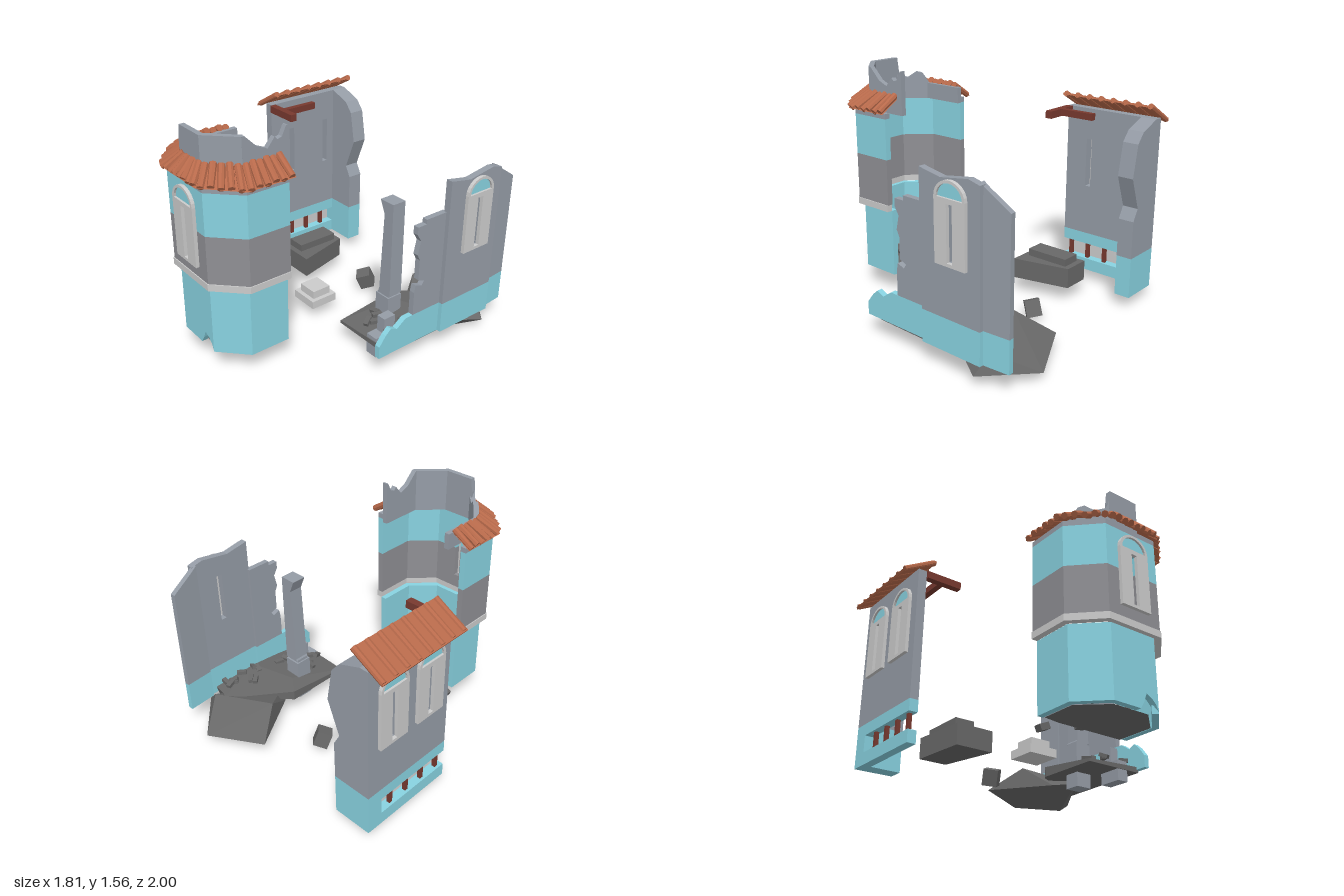
import * as THREE from 'three';
import { ConvexGeometry } from 'three/addons/geometries/ConvexGeometry.js';

const mat = (color) => new THREE.MeshStandardMaterial({ color, flatShading: true, side: THREE.DoubleSide });
const STONE = mat(0x959ca6), BAND = mat(0x8f8f94), TRIM = mat(0xcccccc), TEAL = mat(0x88d2e0);
const RUBBLE = mat(0x686868), TILE = mat(0xb86a4b), WOOD = mat(0x78392f);
const V = (x, y, z) => new THREE.Vector3(x, y, z);

let seed = 7;
const rnd = () => (seed = (seed * 16807) % 2147483647) / 2147483647;

function add(parent, name, geo, material, x = 0, y = 0, z = 0) {
  const m = new THREE.Mesh(geo, material);
  m.name = name;
  m.position.set(x, y, z);
  parent.add(m);
  return m;
}
// box given by its min and max corners
function block(parent, name, material, x0, x1, y0, y1, z0, z1) {
  return add(parent, name, new THREE.BoxGeometry(x1 - x0, y1 - y0, z1 - z0), material,
    (x0 + x1) / 2, (y0 + y1) / 2, (z0 + z1) / 2);
}
const hull = (parent, name, material, pts) =>
  add(parent, name, new ConvexGeometry(pts.map((p) => V(...p))), material);

// upright wall plane from plan point p to q: local x runs along it, local z points outward
function face(parent, name, p, q) {
  const g = new THREE.Group();
  g.name = name;
  g.position.set(p[0], 0, p[1]);
  g.rotation.y = Math.atan2(-(q[1] - p[1]), q[0] - p[0]);
  g.userData.length = Math.hypot(q[0] - p[0], q[1] - p[1]);
  parent.add(g);
  return g;
}
const shapeOf = (pts) => new THREE.Shape(pts.map((p) => new THREE.Vector2(...p)));
const rect = (a, b, c, d) => [[a, c], [b, c], [b, d], [a, d]];
// slab of wall whose outer side lies at local z = front
function slab(g, name, material, pts, depth, front = 0, holes = []) {
  const s = shapeOf(pts);
  s.holes = holes.map(shapeOf);
  const geo = new THREE.ExtrudeGeometry(s, { depth, bevelEnabled: false });
  return add(g, name, geo, material, 0, 0, front - depth);
}
const slit = (s, y) => rect(s - 0.021, s + 0.021, y + 0.02, y + 0.36);
// arched window surround with a narrow slit
function arrowWindow(g, s, y) {
  const r = 0.112, top = y + 0.39;
  slab(g, 'windowSurround', TRIM, rect(s - r, s + r, y, top), 0.025, 0.023, [slit(s, y)]);
  const arc = (rad) => Array.from({ length: 13 }, (_, i) =>
    [s + rad * Math.cos(i * Math.PI / 12), top + rad * 0.92 * Math.sin(i * Math.PI / 12)]);
  slab(g, 'windowArch', TRIM, [...arc(r), ...arc(r - 0.018).reverse()], 0.025, 0.023);
  slab(g, 'archPanel', TEAL, arc(r - 0.018), 0.012, 0.009);
}
// round roof tile between two points
function tileRoll(parent, a, b, r = 0.02) {
  const m = add(parent, 'roofTile', new THREE.CylinderGeometry(r, r * 1.1, a.distanceTo(b), 8), TILE);
  m.position.copy(a).add(b).multiplyScalar(0.5);
  m.quaternion.setFromUnitVectors(V(0, 1, 0), b.clone().sub(a).normalize());
}
function quad(parent, name, material, a, b, c, d) {
  const geo = new THREE.BufferGeometry().setFromPoints([a, b, c, a, c, d]);
  geo.computeVertexNormals();
  add(parent, name, geo, material);
}
function bricks(parent, n, x0, x1, z0, z1, y) {
  for (let i = 0; i < n; i++) {
    const m = add(parent, 'looseBrick', new THREE.BoxGeometry(0.065, 0.025, 0.032), RUBBLE,
      x0 + rnd() * (x1 - x0), y, z0 + rnd() * (z1 - z0));
    m.rotation.set(rnd() * 0.5 - 0.25, rnd() * 3.1, rnd() * 0.5 - 0.25);
  }
}
// half-octagon plan, from the left end round the front to the right end
const plan = (side, corner, half, front, end = 0.47) => [[-side, end], [-side, corner],
  [-half, front], [half, front], [side, corner], [side, end]];

function buildTower(root) {
  const t = new THREE.Group();
  t.name = 'tower';
  root.add(t);
  const ring = (name, material, pl, y0, y1, frontPts) => {
    for (let i = 0; i < 5; i++) {
      const g = face(t, name, pl[i], pl[i + 1]), L = g.userData.length;
      slab(g, name + 'Panel', material, i === 2 && frontPts ? frontPts : rect(0, L, y0, y1), 0.04);
      if (i === 2 && name === 'upperBand') arrowWindow(g, L / 2, 0.74);
    }
  };
  const body = plan(0.38, 0.76, 0.2, 0.94);
  ring('lowerWall', TEAL, plan(0.345, 0.745, 0.17, 0.915), 0.15, 0.62,
    [[0, 0.15], [0.2, 0.15], [0.23, 0.2], [0.25, 0.25], [0.29, 0.23], [0.32, 0.2], [0.34, 0.16], [0.34, 0.62], [0, 0.62]]);
  ring('ledge', TRIM, plan(0.386, 0.763, 0.203, 0.946), 0.62, 0.665);
  ring('greyBand', BAND, body, 0.665, 0.98, [[0, 0.665], [0.4, 0.665], [0.4, 0.98],
    [0.221, 0.98], [0.221, 0.76], [0.179, 0.76], [0.179, 0.98], [0, 0.98]]);
  ring('upperBand', TEAL, body, 0.98, 1.255, [[0, 0.98], [0.179, 0.98], [0.179, 1.1],
    [0.221, 1.1], [0.221, 0.98], [0.4, 0.98], [0.4, 1.255], [0, 1.255]]);
  ring('cornice', STONE, body, 1.255, 1.29);

  // broken drum above the eaves
  const drum = plan(0.285, 0.72, 0.115, 0.89, 0.41), tops = [
    [[0.3, 1.38], [0, 1.38]],
    [[0.24, 1.48], [0.22, 1.43], [0.15, 1.42], [0.09, 1.46], [0.05, 1.45], [0, 1.38]],
    [[0.23, 1.56], [0.012, 1.56], [0, 1.47]],
    [[0.24, 1.56], [0, 1.56]],
    [[0.32, 1.56], [0.3, 1.56], [0.27, 1.5], [0.24, 1.49], [0.22, 1.51], [0.17, 1.45], [0.1, 1.48], [0.02, 1.56], [0, 1.56]]];
  tops.forEach((top, i) => {
    const g = face(t, 'drum', drum[i], drum[i + 1]), L = g.userData.length;
    slab(g, 'drumPanel', STONE, [[0, 1.27], [L, 1.27], ...top.map(([s, y]) => [Math.min(s, L), y])], 0.035);
  });

  // tiled eaves
  const outer = plan(0.42, 0.78, 0.2, 0.98, 0.45), inner = plan(0.28, 0.72, 0.115, 0.885, 0.45);
  const at = (pl, i, f, y) => V(THREE.MathUtils.lerp(pl[i][0], pl[i + 1][0], f), y,
    THREE.MathUtils.lerp(pl[i][1], pl[i + 1][1], f));
  [6, 5, 8, 5, 6].forEach((n, i) => {
    quad(t, 'eavesDeck', TILE, at(outer, i, 0, 1.295), at(outer, i, 1, 1.295), at(inner, i, 1, 1.38), at(inner, i, 0, 1.38));
    for (let k = 0; k < n; k++) {
      const f = (k + 0.5) / n, lift = (k % 2) * 0.008;
      tileRoll(t, at(inner, i, f, 1.39 + lift), at(outer, i, f, 1.3 + lift), 0.021);
    }
  });

  // rubble floor
  hull(t, 'towerFloor', RUBBLE, [[-0.3, 0.15, 0.48], [-0.3, 0.15, 0.72], [-0.13, 0.15, 0.87], [0.13, 0.15, 0.87],
    [0.3, 0.15, 0.72], [0.3, 0.15, 0.46], [0.15, 0.17, 0.42], [-0.15, 0.17, 0.42], [0.05, 0.2, 0.6], [-0.1, 0.09, 0.6], [0.15, 0.1, 0.65]]);
  bricks(t, 14, -0.18, 0.2, 0.45, 0.78, 0.2);
  bricks(t, 4, -0.03, 0.08, 0.41, 0.48, 0.18);
  block(t, 'fallenBrick', RUBBLE, -0.33, -0.26, 0.08, 0.12, 0.43, 0.48).rotation.z = 0.4;
}

function buildLeftRuin(root) {
  const r = new THREE.Group();
  r.name = 'leftRuin';
  root.add(r);
  const side = face(r, 'leftWall', [-0.8, -0.87], [-0.8, -0.19]);
  slab(side, 'leftWallBase', TEAL, [[0, 0.08], [0.68, 0.08], [0.68, 0.165], [0.1, 0.165], [0.1, 0.28], [0.68, 0.28], [0.68, 0.36], [0, 0.36]], 0.06);
  slab(side, 'leftWallUpper', STONE, rect(0, 0.68, 0.36, 1.265), 0.06, 0, [slit(0.19, 0.69), slit(0.5, 0.69)]);
  [0.19, 0.5].forEach((s) => arrowWindow(side, s, 0.69));
  for (let i = 0; i < 4; i++) slab(side, 'baluster', WOOD, rect(0.2 + i * 0.14, 0.225 + i * 0.14, 0.16, 0.285), 0.025, -0.018);

  const back = face(r, 'backWall', [-0.53, -0.87], [-0.8, -0.87]);
  slab(back, 'backWallBase', TEAL, rect(0, 0.27, 0.08, 0.36), 0.11);
  slab(back, 'backWallUpper', STONE, [[0, 0.36], [0.27, 0.36], [0.27, 1.265], [0.21, 1.265], [0.06, 1.21],
    [0, 1.14], [-0.04, 0.92], [0.045, 0.7], [0, 0.62]], 0.11);

  block(r, 'crossBeam', WOOD, -0.735, -0.485, 1.215, 1.265, -0.225, -0.178);
  block(r, 'longBeam', WOOD, -0.635, -0.595, 1.22, 1.265, -0.475, -0.2);

  // sloping tiled roof
  const deck = add(r, 'roofDeck', new THREE.BoxGeometry(0.255, 0.014, 0.69), TILE, -0.79, 1.292, -0.525);
  deck.rotation.z = Math.atan2(0.125, 0.22);
  for (let i = 0; i < 8; i++) {
    const z = -0.855 + i * 0.093;
    tileRoll(r, V(-0.682, 1.357, z), V(-0.895, 1.236, z), 0.019);
  }
}

function buildRightRuin(root) {
  const r = new THREE.Group();
  r.name = 'rightRuin';
  root.add(r);
  // stepped wall, broken toward the front
  const front = face(r, 'rightWallFront', [0.852, 0.16], [0.852, -0.35]);
  slab(front, 'frontBase', TEAL, [[0, 0.15], [0.51, 0.15], [0.51, 0.36], [0.21, 0.36], [0.14, 0.31], [0.09, 0.335], [0.05, 0.3], [0, 0.235]], 0.037);
  slab(front, 'frontUpper', STONE, [[0.27, 0.36], [0.51, 0.36], [0.51, 1.0], [0.34, 1.0], [0.34, 0.97], [0.27, 0.97], [0.27, 0.92],
    [0.3, 0.87], [0.28, 0.78], [0.3, 0.74], [0.3, 0.6], [0.35, 0.58], [0.33, 0.55], [0.28, 0.57], [0.27, 0.52]], 0.037);
  const mid = face(r, 'rightWallMiddle', [0.88, -0.34], [0.88, -0.78]);
  slab(mid, 'middleBase', TEAL, rect(0, 0.44, 0.15, 0.36), 0.045);
  slab(mid, 'middleUpper', STONE, [[0, 0.36], [0.44, 0.36], [0.44, 1.19], [0.36, 1.21], [0.16, 1.18], [0, 1.21]], 0.045, 0, [slit(0.243, 0.69)]);
  arrowWindow(mid, 0.243, 0.69);
  const rear = face(r, 'rightWallRear', [0.855, -0.76], [0.84, -0.955]);
  slab(rear, 'rearBase', TEAL, rect(0, 0.195, 0.15, 0.36), 0.035);
  slab(rear, 'rearUpper', STONE, [[0, 0.36], [0.195, 0.36], [0.195, 1.07], [0.04, 1.17], [0, 1.2]], 0.035);

  // floor mound and the tilted slab below it
  hull(r, 'rightFloor', RUBBLE, [[0.39, 0.15, 0.08], [0.83, 0.17, 0.08], [0.83, 0.13, 0.08], [0.39, 0.13, 0.08], [0.39, 0.2, -0.38],
    [0.39, 0.13, -0.38], [0.62, 0.2, -0.68], [0.7, 0.2, -0.74], [0.83, 0.2, -0.72], [0.83, 0.12, -0.7], [0.8, 0.24, -0.4], [0.5, 0.22, -0.3]]);
  hull(r, 'tiltedSlab', RUBBLE, [[0.21, 0.1, -0.81], [0.59, 0.07, -1], [0.78, 0.19, -0.77], [0.36, 0.24, -0.6],
    [0.47, 0.09, -0.4], [0.74, 0, -0.65], [0.89, 0.08, -0.74], [0.6, 0.1, -0.3]]);
  bricks(r, 9, 0.66, 0.8, -0.7, -0.38, 0.235);
  bricks(r, 7, 0.48, 0.8, -0.36, 0.02, 0.22);

  // tall column: block base, tapering shaft, broken capital
  block(r, 'columnBase', STONE, 0.477, 0.595, 0.03, 0.33, -0.258, -0.145);
  const col = face(r, 'column', [0, -0.155], [1, -0.155]);
  slab(col, 'columnShaft', STONE, [[0.487, 0.33], [0.487, 0.345], [0.595, 0.345], [0.59, 0.98], [0.59, 1], [0.475, 1], [0.515, 0.91], [0.495, 0.36]].slice(1), 0.1);
  slab(col, 'columnNeck', STONE, rect(0.487, 0.585, 0.32, 0.35), 0.09);
  // short column stump
  block(r, 'stumpBase', STONE, 0.645, 0.73, 0.05, 0.19, -0.09, 0.075);
  block(r, 'stumpShaft', STONE, 0.655, 0.72, 0.19, 0.3, -0.09, 0.0);
}

function buildLooseStones(root) {
  // two-tier pedestal
  block(root, 'pedestalLower', TRIM, -0.1, 0.105, 0.09, 0.145, -0.11, 0.09);
  block(root, 'pedestalUpper', TRIM, -0.07, 0.075, 0.145, 0.2, -0.08, 0.06);
  // skewed block with raised top
  hull(root, 'skewedBlock', RUBBLE, [0.11, 0.25].flatMap((y) => [[-0.53, y, -0.51], [-0.335, y, -0.51], [-0.24, y, -0.12], [-0.5, y, -0.12]]));
  block(root, 'skewedBlockCap', RUBBLE, -0.49, -0.355, 0.25, 0.3, -0.47, -0.16);
  // tumbled cube
  add(root, 'tumbledCube', new THREE.BoxGeometry(0.1, 0.11, 0.1), RUBBLE, 0.005, 0.08, -0.475).rotation.set(0.25, Math.PI / 4, 0.2);
}

export function createModel() {
  const root = new THREE.Group();
  root.name = 'ruinedBuilding';
  buildTower(root);
  buildLeftRuin(root);
  buildRightRuin(root);
  buildLooseStones(root);
  return root;
}
